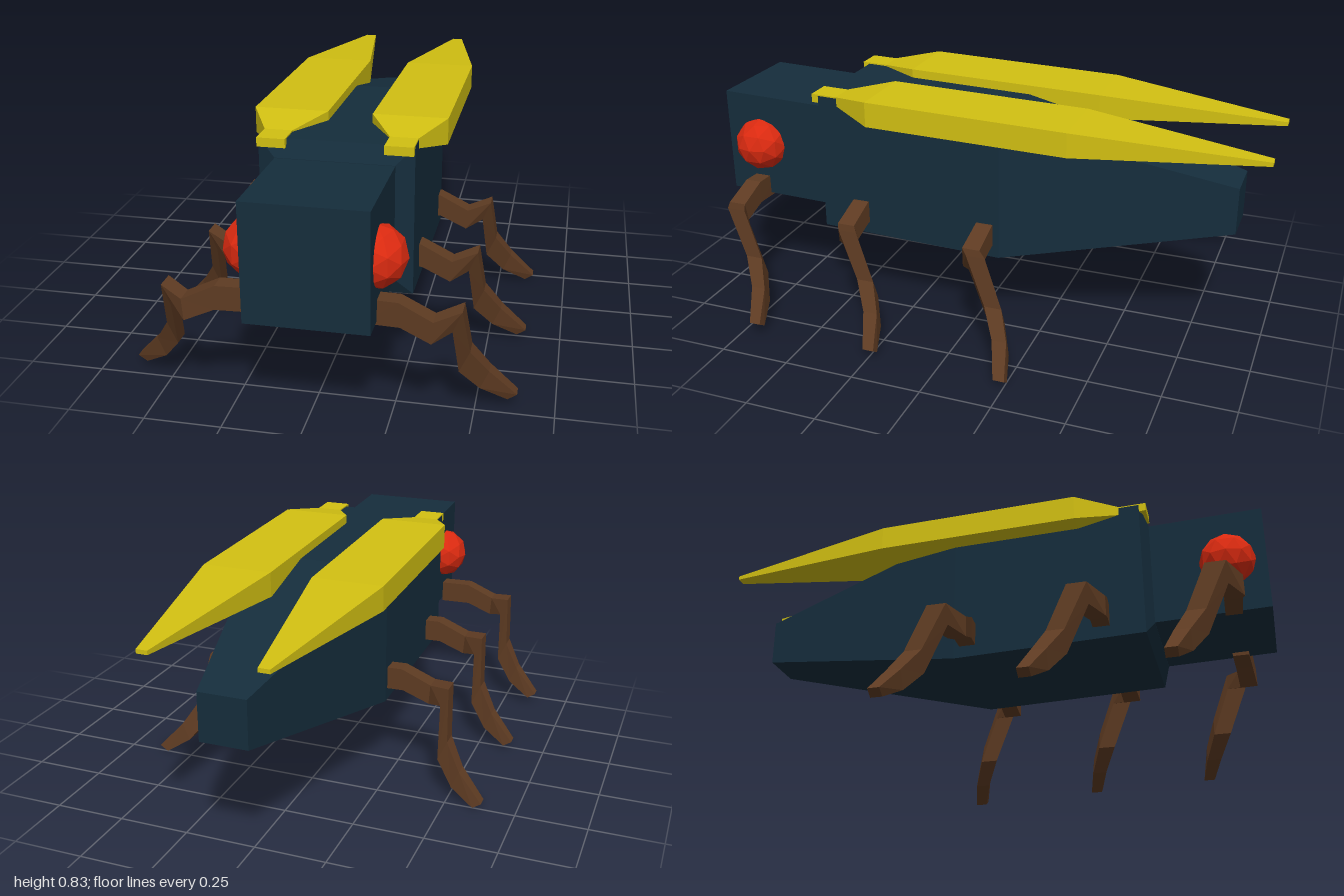
import * as THREE from 'three';

const paint = (color) => new THREE.MeshStandardMaterial({ color, flatShading: true });

// Skin a row of four-cornered rings and cap both ends; each ring runs
// counter-clockwise as seen from before the first ring.
function loft(rings) {
  const pos = [];
  const tri = (...pts) => pts.forEach((p) => pos.push(...p));
  const quad = (a, b, c, d) => { tri(a, b, c); tri(a, c, d); };
  for (let r = 0; r < rings.length - 1; r++) {
    const a = rings[r], b = rings[r + 1];
    for (let i = 0; i < 4; i++) {
      const j = (i + 1) % 4;
      quad(a[i], b[i], b[j], a[j]);
    }
  }
  const first = rings[0], last = rings[rings.length - 1];
  quad(first[0], first[1], first[2], first[3]);
  quad(last[3], last[2], last[1], last[0]);
  const geo = new THREE.BufferGeometry();
  geo.setAttribute('position', new THREE.Float32BufferAttribute(pos, 3));
  geo.computeVertexNormals();
  return geo;
}

// Rectangular section across z
const rect = ([x0, x1, y0, y1, z]) => [[x0, y0, z], [x1, y0, z], [x1, y1, z], [x0, y1, z]];

// Leg section: lower edge x,y; upper edge x,y; middle z; half width
const legRing = ([bx, by, tx, ty, z, w]) =>
  [[bx, by, z - w], [bx, by, z + w], [tx, ty, z + w], [tx, ty, z - w]];

export function createModel() {
  const model = new THREE.Group();
  model.name = 'beetle';
  const shell = paint(0x152d3c), wingMat = paint(0xd2c012);
  const eyeMat = paint(0xdb2a10), legMat = paint(0x5e3b22);

  const add = (parent, name, geo, mat) => {
    const mesh = new THREE.Mesh(geo, mat);
    mesh.name = name;
    parent.add(mesh);
    return mesh;
  };

  // Trunk, wings and eyes share a midline slightly off centre
  const trunk = new THREE.Group();
  trunk.name = 'trunk';
  trunk.position.x = 0.024;
  model.add(trunk);

  // Head block
  add(trunk, 'head', loft([
    [-0.192, 0.192, 0.372, 0.757, 1.0],
    [-0.192, 0.192, 0.362, 0.745, 0.59],
  ].map(rect)), shell);

  // Body: bevelled collar, straight thorax, tapered abdomen
  add(trunk, 'body', loft([
    [-0.192, 0.192, 0.36, 0.747, 0.605],
    [-0.25, 0.25, 0.303, 0.805, 0.58],
    [-0.25, 0.25, 0.285, 0.788, -0.1],
    [-0.083, 0.083, 0.435, 0.602, -0.89],
  ].map(rect)), shell);

  // Wing cases and eyes, mirrored
  const wingGeo = loft([
    [0.157, 0.249, 0.78, 0.81, 0.605],
    [0.157, 0.249, 0.775, 0.808, 0.51],
    [0.074, 0.323, 0.742, 0.831, 0.36],
    [0.074, 0.323, 0.729, 0.815, -0.36],
    [0.174, 0.212, 0.748, 0.762, -1.0],
  ].map(rect));
  const eyeGeo = new THREE.IcosahedronGeometry(0.1, 1);
  for (const [side, s] of [['left', 1], ['right', -1]]) {
    add(trunk, side + 'WingCase', wingGeo, wingMat).scale.x = s;
    const eye = add(trunk, side + 'Eye', eyeGeo, eyeMat);
    eye.position.set(s * 0.181, 0.565, 0.867);
    eye.scale.x = s;
  }

  // Three pairs of jointed legs, from hip to foot
  const legGeo = loft([
    [0.17, 0.343, 0.17, 0.424, 0.425, 0.029],
    [0.285, 0.343, 0.28, 0.424, 0.43, 0.03],
    [0.38, 0.303, 0.385, 0.375, 0.438, 0.032],
    [0.437, 0.325, 0.465, 0.393, 0.39, 0.034],
    [0.452, 0.15, 0.485, 0.222, 0.32, 0.031],
    [0.515, 0.07, 0.542, 0.133, 0.277, 0.026],
    [0.6, 0.018, 0.63, 0.038, 0.247, 0.02],
  ].map(legRing));
  for (const [name, y, z] of [['front', 0.013, 0.447], ['middle', 0, 0], ['rear', -0.014, -0.478]]) {
    for (const [side, s] of [['Left', 1], ['Right', -1]]) {
      const leg = add(model, name + side + 'Leg', legGeo, legMat);
      leg.position.set(0, y, z);
      leg.scale.x = s;
    }
  }
  return model;
}
